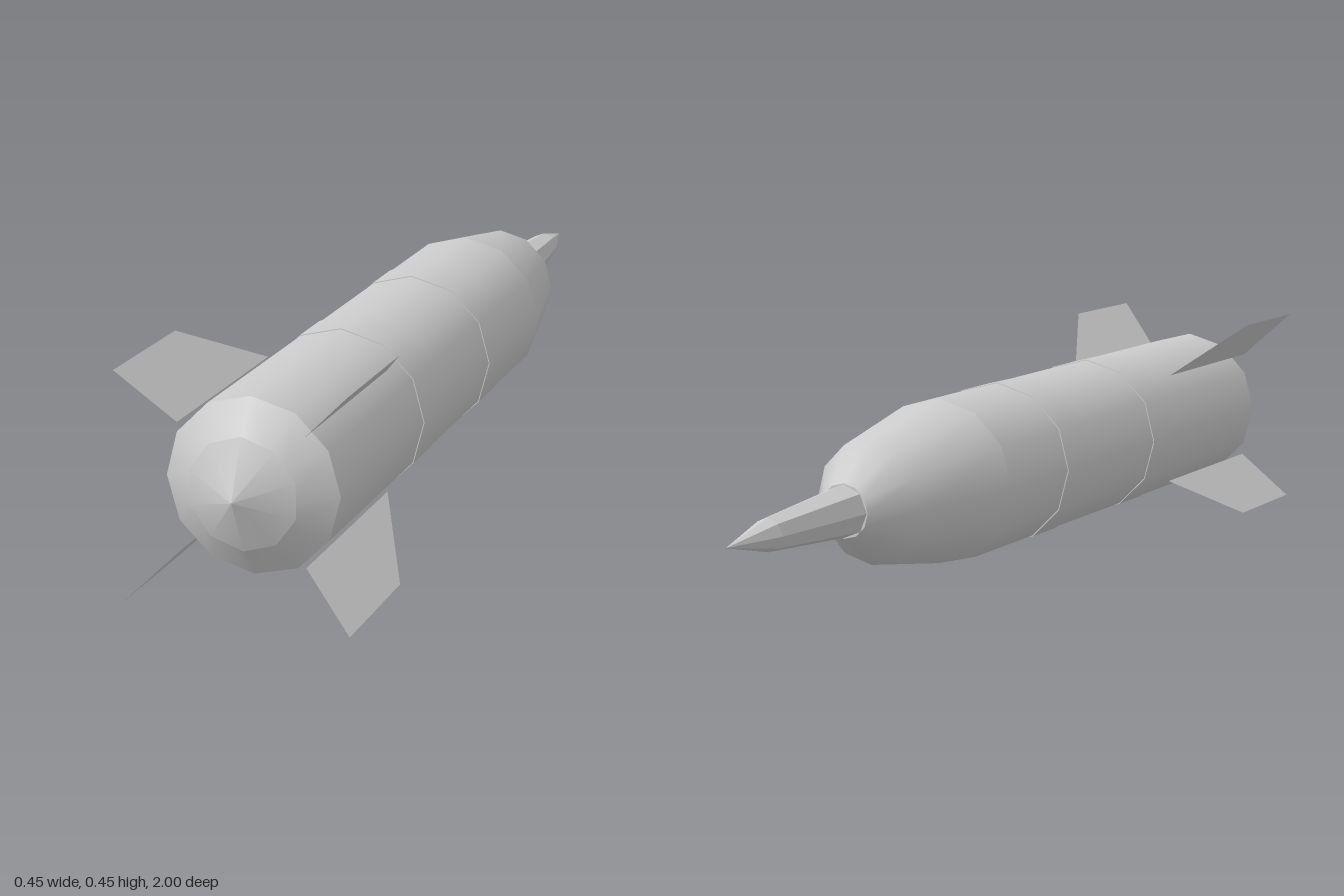
import * as THREE from 'three';

const AXIS_Y = 0.226; // height of the body's long axis
const SIDES = 12;

export function createModel() {
  const model = new THREE.Group();
  const grey = new THREE.MeshStandardMaterial({ color: 0xcccccc });
  grey.name = 'light grey';
  const greyThin = grey.clone();
  greyThin.name = 'light grey thin sheet';
  greyThin.side = THREE.DoubleSide;

  const add = (name, geometry, material = grey) => {
    const mesh = new THREE.Mesh(geometry, material);
    mesh.name = name;
    mesh.position.y = AXIS_Y;
    model.add(mesh);
    return mesh;
  };

  // Turned section along z; profile is [radius, z] with z increasing
  const turned = (profile, sides) =>
    new THREE.LatheGeometry(profile.map(([r, z]) => new THREE.Vector2(r, z)), sides).rotateX(Math.PI / 2);

  // Casing
  add('body', turned([[0.173, -0.27], [0.173, 0.905]], SIDES));
  add('noseTaper', turned([[0.055, -0.62], [0.126, -0.525], [0.173, -0.27]], SIDES));
  add('noseTaperEnd', turned([[0, -0.62], [0.055, -0.62]], SIDES));
  add('tailRing', turned([[0.173, 0.905], [0.1, 0.953]], SIDES));
  add('tailCone', turned([[0.1105, 0.952], [0, 1]], 10));

  // Faceted nose spike
  const spike = turned([[0, -1], [0.033, -0.87], [0.053, -0.62]], 8).toNonIndexed();
  spike.computeVertexNormals();
  add('noseSpike', spike);

  // Slightly raised bands around the body
  for (const [name, z] of [['frontBand', 0.02], ['rearBand', 0.42]]) {
    const band = new THREE.CylinderGeometry(0.175, 0.175, 0.105, SIDES).rotateX(Math.PI / 2);
    add(name, band.translate(0, 0, z));
  }

  // Four thin diagonal fins, drawn as (radius, z) and laid into the radial plane
  const outline = [[0.176, 0.545], [0.319, 0.745], [0.319, 1], [0.176, 0.955]];
  const finShape = new THREE.Shape(outline.map(([r, z]) => new THREE.Vector2(r, z)));
  const finGeometry = new THREE.ShapeGeometry(finShape).rotateX(Math.PI / 2);
  ['upperLeftFin', 'upperRightFin', 'lowerRightFin', 'lowerLeftFin'].forEach((name, i) => {
    add(name, finGeometry, greyThin).rotation.z = Math.PI / 4 + (i * Math.PI) / 2;
  });

  return model;
}
